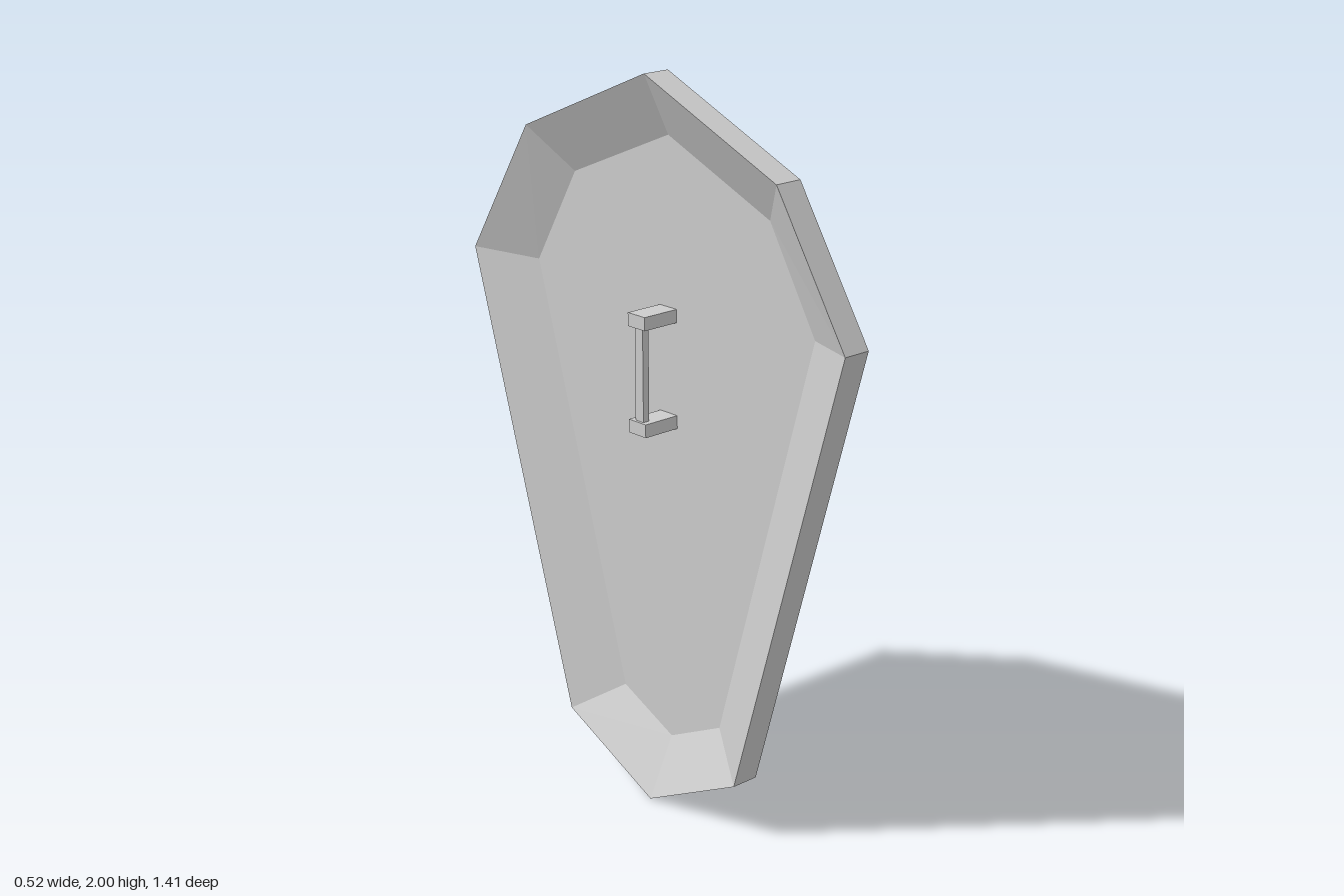
import * as THREE from 'three';

const material = new THREE.MeshStandardMaterial({ color: 0xcccccc, flatShading: true });

// Half outlines as [z, y], from the top point down to the bottom point
const OUTER = [[0, 2], [0.47, 1.8], [0.705, 1.425], [0.33, 0.16], [0, 0]];
const RIM = [[0, 1.955], [0.44, 1.77], [0.645, 1.43], [0.277, 0.18], [0, 0.045]];
const MID = [[0, 1.835], [0.368, 1.68], [0.527, 1.41], [0.19, 0.255], [0, 0.165]];
const FACE = [[0, 1.73], [0.3, 1.61], [0.42, 1.4], [0.11, 0.32], [0, 0.27]];
const CENTRE = Array(5).fill([0, 1.2]);

// Mirror a half outline into a closed ring at depth x
function ring(x, half) {
  const mirrored = half.slice(1, -1).reverse().map(([z, y]) => [-z, y]);
  return [...half, ...mirrored].map(([z, y]) => new THREE.Vector3(x, y, z));
}

// Skin a series of rings with flat facets
function loft(name, rings) {
  const points = [];
  const tri = new THREE.Triangle();
  const add = (a, b, c) => {
    if (tri.set(a, b, c).getArea() > 1e-7) points.push(a, b, c);
  };
  for (let r = 0; r < rings.length - 1; r++) {
    const a = rings[r], b = rings[r + 1];
    for (let i = 0; i < a.length; i++) {
      const j = (i + 1) % a.length;
      add(a[i], a[j], b[j]);
      add(a[i], b[j], b[i]);
    }
  }
  const geometry = new THREE.BufferGeometry().setFromPoints(points);
  geometry.computeVertexNormals();
  return mesh(name, geometry);
}

function mesh(name, geometry, x = 0, y = 0, z = 0) {
  const m = new THREE.Mesh(geometry, material);
  m.name = name;
  m.position.set(x, y, z);
  return m;
}

// Six-sided spike pointing out of the shield face
function spike(name, radius, length, y, z) {
  const geometry = new THREE.ConeGeometry(radius, length, 6);
  geometry.rotateZ(-Math.PI / 2);
  // turn so that two corners lie level with the tip
  geometry.rotateX(0);
  return mesh(name, geometry, -0.04 + length / 2, y, z);
}

export function createModel() {
  const shield = new THREE.Group();
  shield.name = 'shield';

  // Frame: recessed back, outer edge, flat rim and bevel
  shield.add(loft('frame', [
    ring(-0.155, CENTRE), ring(-0.155, MID), ring(-0.235, OUTER),
    ring(-0.155, OUTER), ring(-0.155, RIM), ring(-0.08, MID),
  ]));

  // Raised front panel with its own bevel
  shield.add(loft('frontPanel', [
    ring(-0.08, MID), ring(-0.07, MID), ring(-0.04, FACE), ring(-0.04, CENTRE),
  ]));

  // Spikes
  shield.add(spike('largeSpike', 0.15, 0.3, 1.26, 0));
  shield.add(spike('topSpike', 0.073, 0.145, 1.6, 0));
  for (const side of [-1, 1]) {
    shield.add(spike(side > 0 ? 'frontSideSpike' : 'backSideSpike', 0.073, 0.145, 1.4, side * 0.29));
  }

  // Grip on the back
  const handle = new THREE.Group();
  handle.name = 'handle';
  for (const y of [1.078, 1.366]) {
    handle.add(mesh('handleFoot', new THREE.BoxGeometry(0.11, 0.036, 0.065), -0.21, y, -0.004));
  }
  handle.add(mesh('handleBar', new THREE.BoxGeometry(0.02, 0.26, 0.03), -0.247, 1.222, -0.004));
  shield.add(handle);

  return shield;
}
